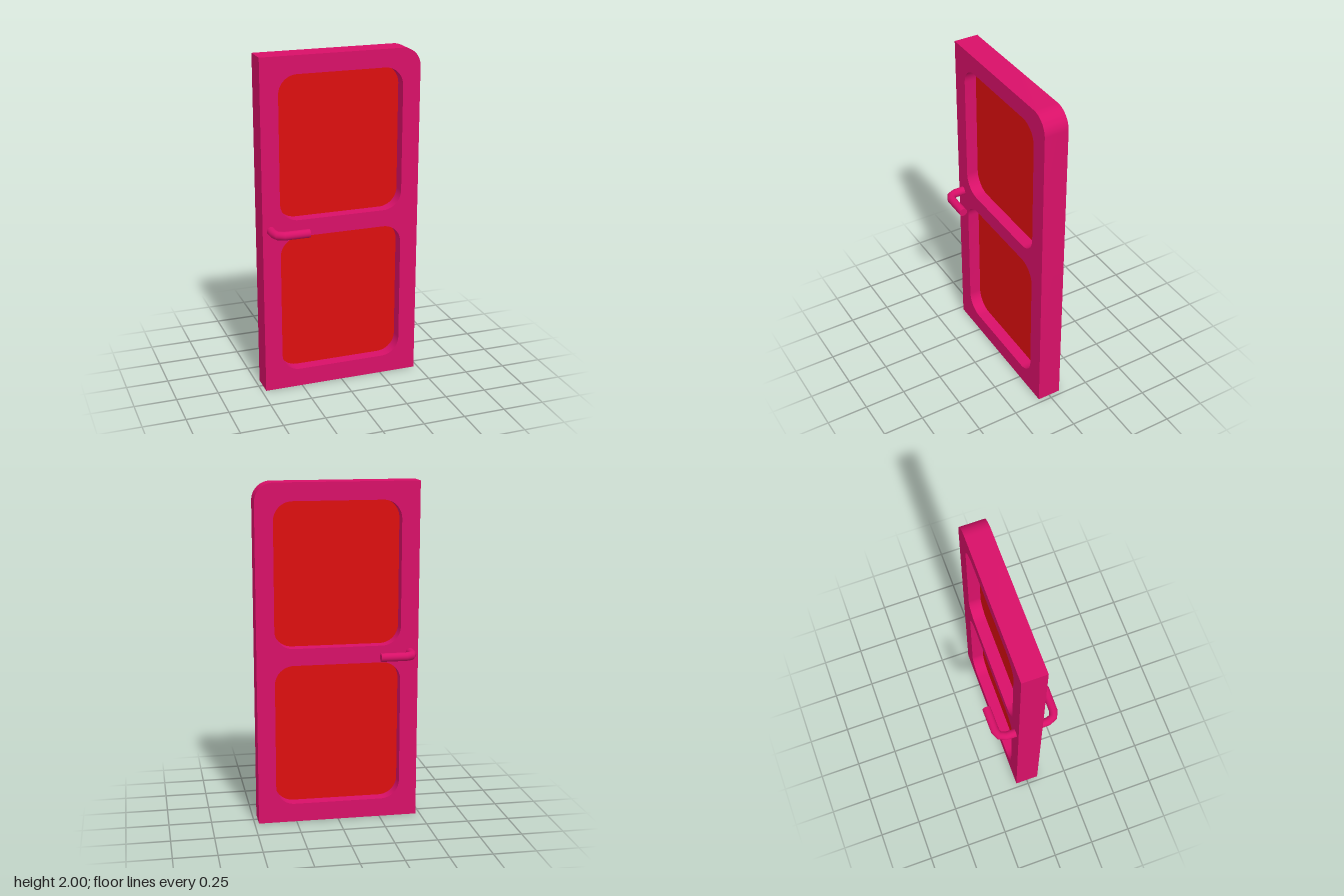
import * as THREE from 'three';
import { toCreasedNormals } from 'three/addons/utils/BufferGeometryUtils.js';

const HALF_W = 0.475, HEIGHT = 2, HALF_T = 0.072, RADIUS = 0.11;

// Traces a rounded rectangle; radii order: bottom right, top right, top left, bottom left
function roundedRect(path, x0, y0, x1, y1, [br, tr, tl, bl]) {
  const corner = (x, y, r, start) => {
    if (r > 0) path.absarc(x, y, r, start, start + Math.PI / 2, false);
    else path.lineTo(x, y);
  };
  path.moveTo(x0 + bl, y0);
  corner(x1 - br, y0 + br, br, -Math.PI / 2);
  corner(x1 - tr, y1 - tr, tr, 0);
  corner(x0 + tl, y1 - tl, tl, Math.PI / 2);
  corner(x0 + bl, y0 + bl, bl, Math.PI);
  path.closePath();
  return path;
}

export function createModel() {
  const door = new THREE.Group();
  door.name = 'door';
  const pink = new THREE.MeshStandardMaterial({ color: 0xd81068 });
  const red = new THREE.MeshStandardMaterial({ color: 0xdd0f0f, side: THREE.DoubleSide });

  const add = (parent, name, geometry, material) => {
    const mesh = new THREE.Mesh(geometry, material);
    mesh.name = name;
    parent.add(mesh);
    return mesh;
  };

  // Frame with one rounded top corner and two openings, each with a panel in its middle plane
  const outline = roundedRect(new THREE.Shape(), -HALF_W, 0, HALF_W, HEIGHT, [0, RADIUS, 0, 0]);
  const openings = { lowerPanel: [0.11, 0.95], upperPanel: [1.05, 1.895] };
  for (const [name, [y0, y1]] of Object.entries(openings)) {
    const trace = (path) => roundedRect(path, -0.37, y0, 0.37, y1, Array(4).fill(RADIUS));
    outline.holes.push(trace(new THREE.Path()));
    add(door, name, new THREE.ShapeGeometry(trace(new THREE.Shape()), 8), red);
  }
  const frame = new THREE.ExtrudeGeometry(outline, { depth: HALF_T * 2, bevelEnabled: false, curveSegments: 8 });
  frame.translate(0, 0, -HALF_T);
  add(door, 'frame', toCreasedNormals(frame, Math.PI / 6), pink);

  // Lever handles: a bent bar with a flat end on each face
  for (const [name, side] of [['frontHandle', 1], ['backHandle', -1]]) {
    const handle = new THREE.Group();
    handle.name = name;
    const points = [[-0.426, 0.05], [-0.425, 0.127], [-0.411, 0.163], [-0.377, 0.178], [-0.23, 0.179]]
      .map(([x, z]) => new THREE.Vector3(x, 1.004, z * side));
    const curve = new THREE.CatmullRomCurve3(points);
    // Rings sit exactly on the given points
    curve.getPointAt = curve.getPoint;
    curve.getTangentAt = curve.getTangent;
    add(handle, 'lever', new THREE.TubeGeometry(curve, points.length - 1, 0.025, 16), pink);
    const cap = add(handle, 'leverEnd', new THREE.CircleGeometry(0.025, 16), pink);
    cap.rotation.y = Math.PI / 2;
    cap.position.copy(points.at(-1));
    door.add(handle);
  }

  return door;
}
